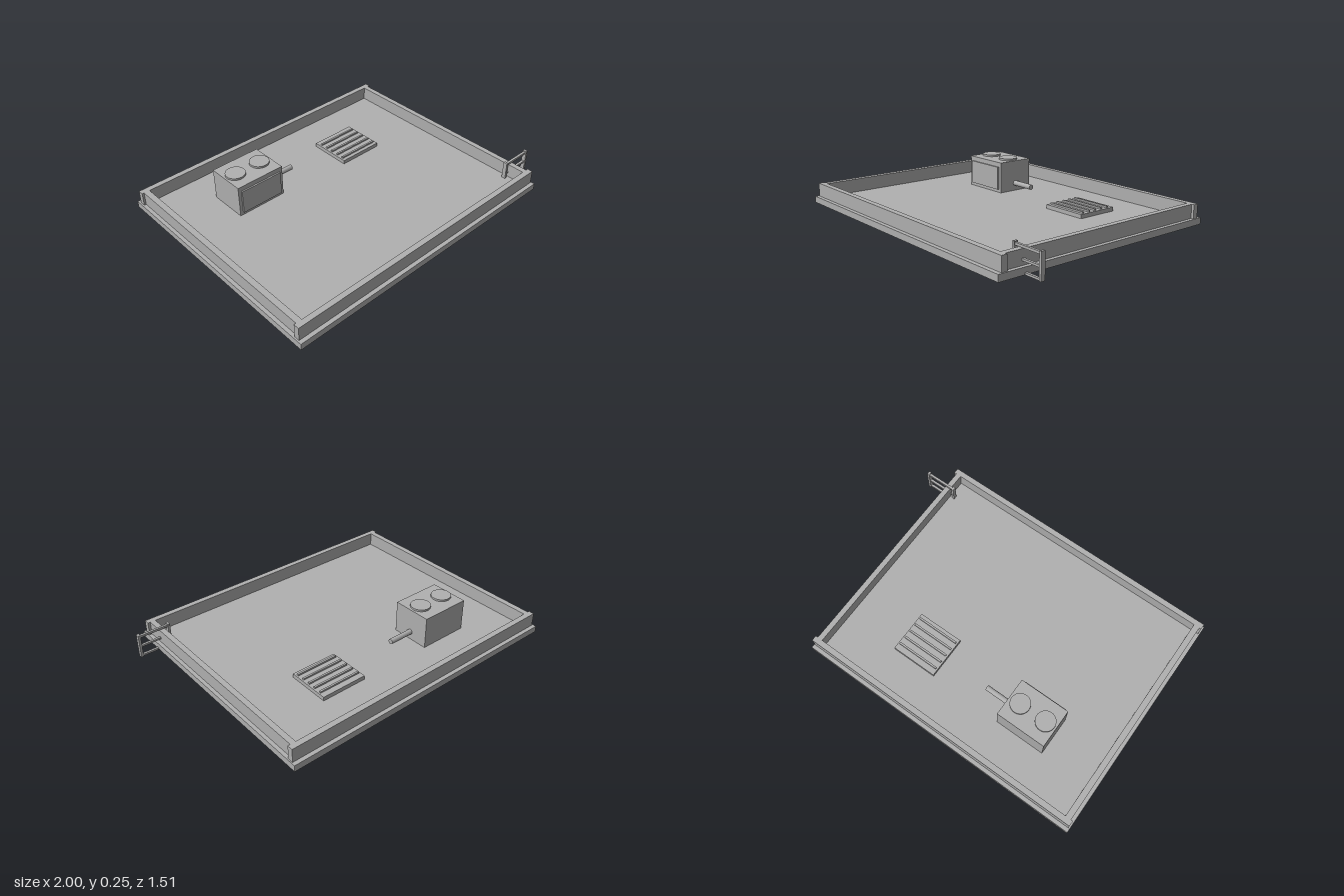
import * as THREE from 'three';

export function createModel() {
  const root = new THREE.Group();
  root.name = 'flatRoof';
  const grey = new THREE.MeshStandardMaterial({ color: 0xb0b0b0 });
  grey.name = 'concreteGrey';

  // Adds a box given by its lower and upper limits on each axis
  function box(name, [x0, x1], [y0, y1], [z0, z1], parent = root) {
    const mesh = new THREE.Mesh(new THREE.BoxGeometry(x1 - x0, y1 - y0, z1 - z0), grey);
    mesh.position.set((x0 + x1) / 2, (y0 + y1) / 2, (z0 + z1) / 2);
    mesh.name = name;
    parent.add(mesh);
    return mesh;
  }
  function group(name) {
    const g = new THREE.Group();
    g.name = name;
    root.add(g);
    return g;
  }

  // Roof slab
  box('roofSlab', [-1, 0.88], [0, 0.04], [-0.755, 0.755]);

  // Parapet: end walls overhang the slightly inset side walls
  const parapet = group('parapet');
  const wallY = [0.04, 0.125];
  box('frontWall', [-0.99, 0.873], wallY, [0.695, 0.73], parapet);
  box('backWall', [-0.99, 0.873], wallY, [-0.73, -0.695], parapet);
  box('rightWall', [-0.977, -0.94], wallY, [-0.695, 0.695], parapet);
  box('leftWall', [0.823, 0.857], wallY, [-0.695, 0.695], parapet);

  // Cooling unit with front panel, two fan covers and a pipe
  const unit = group('coolingUnit');
  box('unitBody', [-0.63, -0.31], [0.04, 0.24], [-0.47, -0.225], unit);
  box('unitFrontPanel', [-0.61, -0.33], [0.06, 0.21], [-0.225, -0.215], unit);
  for (const x of [-0.558, -0.384]) {
    const fan = new THREE.Mesh(new THREE.CylinderGeometry(0.061, 0.061, 0.012, 32), grey);
    fan.position.set(x, 0.246, -0.347);
    fan.name = 'fanCover';
    unit.add(fan);
  }
  const pipe = new THREE.Mesh(new THREE.CylinderGeometry(0.017, 0.017, 0.17, 12), grey);
  pipe.rotation.z = Math.PI / 2;
  pipe.position.set(-0.233, 0.09, -0.347);
  pipe.name = 'unitPipe';
  unit.add(pipe);

  // Louvred vent
  const vent = group('vent');
  box('ventBase', [0.164, 0.46], [0.04, 0.065], [-0.467, -0.197], vent);
  for (let i = 0; i < 5; i++) {
    const z = -0.424 + i * 0.0495;
    box('ventSlat', [0.175, 0.45], [0.065, 0.075], [z - 0.006, z + 0.006], vent);
  }

  // Ladder crossing the left wall
  const ladder = group('ladder');
  for (const x of [0.79, 0.985]) {
    box('ladderPost', [x, x + 0.015], [0, 0.15], [0.572, 0.597], ladder);
  }
  for (const [y0, y1] of [[0, 0.012], [0.065, 0.077], [0.13, 0.144]]) {
    box('ladderRung', [0.805, 0.985], [y0, y1], [0.577, 0.592], ladder);
  }
  return root;
}
